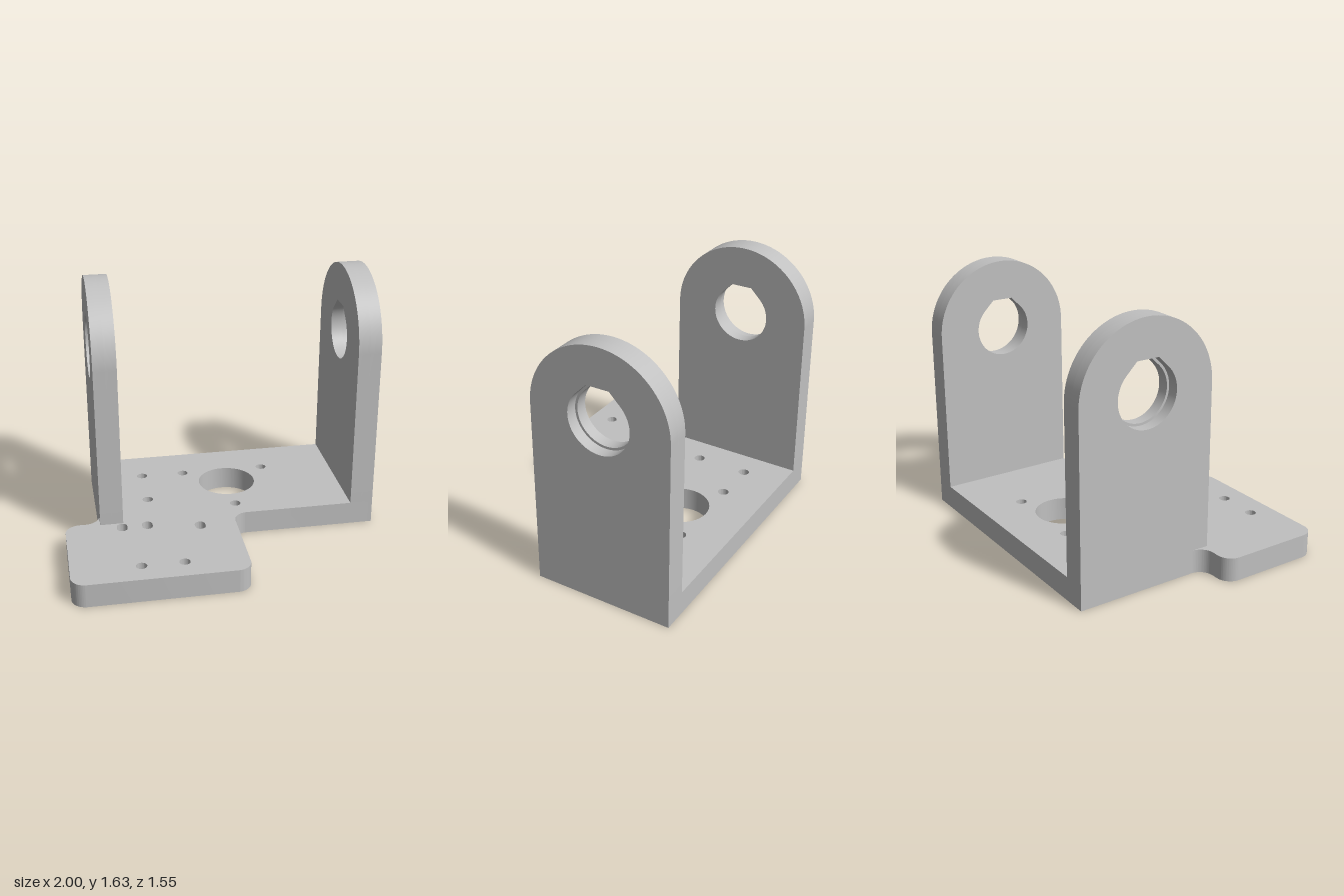
import * as THREE from 'three';
import { toCreasedNormals } from 'three/addons/utils/BufferGeometryUtils.js';

const PI = Math.PI;
const BASE = 0.15;                       // base plate thickness
const BACK = 0.776, FRONT = -0.112;      // wall extent, measured along -z
const WALL_R = (BACK - FRONT) / 2, MID = (BACK + FRONT) / 2;
const AXIS_Y = 1.187;                    // height of the bore axis

const grey = new THREE.MeshStandardMaterial({ color: 0xc0c0c0 });
grey.name = 'grey';

function extrude(shape, depth) {
  const geo = new THREE.ExtrudeGeometry(shape, { depth, bevelEnabled: false, curveSegments: 32 });
  return toCreasedNormals(geo, 0.4);
}

// Round hole, or an upright slot when half > 0
function hole(x, z, r, half = 0) {
  const p = new THREE.Path();
  p.absarc(x, -z + half, r, 0, PI, false);
  p.absarc(x, -z - half, r, PI, 2 * PI, false);
  p.closePath();
  return p;
}

// Plate with an offset front tab, drawn in x and -z
function makeBase() {
  const r = 0.09, s = new THREE.Shape();
  s.moveTo(-0.91, -0.776);
  s.absarc(-0.02, -0.686, r, -PI / 2, 0, false);
  s.absarc(0.07 + r, FRONT - r, r, PI, PI / 2, true);     // inner fillet
  s.lineTo(1, FRONT);
  s.lineTo(1, BACK);
  s.lineTo(-0.78, BACK);
  s.absarc(-0.78 - r, 0, r, 0, -PI / 2, true);            // inner fillet
  s.absarc(-0.91, -0.18, r, PI / 2, PI, false);
  s.absarc(-0.91, -0.686, r, PI, 1.5 * PI, false);

  s.holes.push(hole(0.11, -0.333, 0.187));
  const screws = [[-0.447, -0.503], [-0.167, -0.497], [0.383, -0.497], [-0.447, -0.168],
    [0.11, -0.018], [-0.577, 0.627], [-0.318, 0.627]];
  for (const [x, z] of screws) s.holes.push(hole(x, z, 0.034));
  const slots = [[-0.647, 0.164], [-0.488, 0.164], [-0.16, 0.222]];
  for (const [x, z] of slots) s.holes.push(hole(x, z, 0.033, 0.0125));

  const mesh = new THREE.Mesh(extrude(s, BASE).rotateX(-PI / 2), grey);
  mesh.name = 'basePlate';
  return mesh;
}

// One layer of an arched wall with a truncated teardrop bore of radius r
function wallLayer(r, x0, x1, name) {
  const s = new THREE.Shape();
  s.moveTo(FRONT, BASE);
  s.lineTo(BACK, BASE);
  s.absarc(MID, AXIS_Y, WALL_R, 0, PI, false);
  s.closePath();

  const bore = new THREE.Path();
  bore.absarc(MID, AXIS_Y, r, 0.75 * PI, 2.25 * PI, false);
  bore.lineTo(MID + 0.364 * r, AXIS_Y + 1.05 * r);
  bore.lineTo(MID - 0.364 * r, AXIS_Y + 1.05 * r);
  bore.closePath();
  s.holes.push(bore);

  const geo = extrude(s, x1 - x0).rotateY(PI / 2).translate(x0, 0, 0);
  const mesh = new THREE.Mesh(geo, grey);
  mesh.name = name;
  return mesh;
}

// Wall whose bore steps wider on the outer side
function makeWall(name, x0, x1, outerSide) {
  const wall = new THREE.Group();
  wall.name = name;
  const xm = (x0 + x1) / 2;
  const small = 0.182, large = 0.197;
  wall.add(wallLayer(outerSide < 0 ? large : small, x0, xm, outerSide < 0 ? 'outerLayer' : 'innerLayer'));
  wall.add(wallLayer(outerSide < 0 ? small : large, xm, x1, outerSide < 0 ? 'innerLayer' : 'outerLayer'));
  return wall;
}

export function createModel() {
  const model = new THREE.Group();
  model.name = 'mountingBracket';
  model.add(makeBase());
  model.add(makeWall('rightWall', -0.78, -0.635, -1));
  model.add(makeWall('leftWall', 0.853, 1, 1));
  return model;
}
